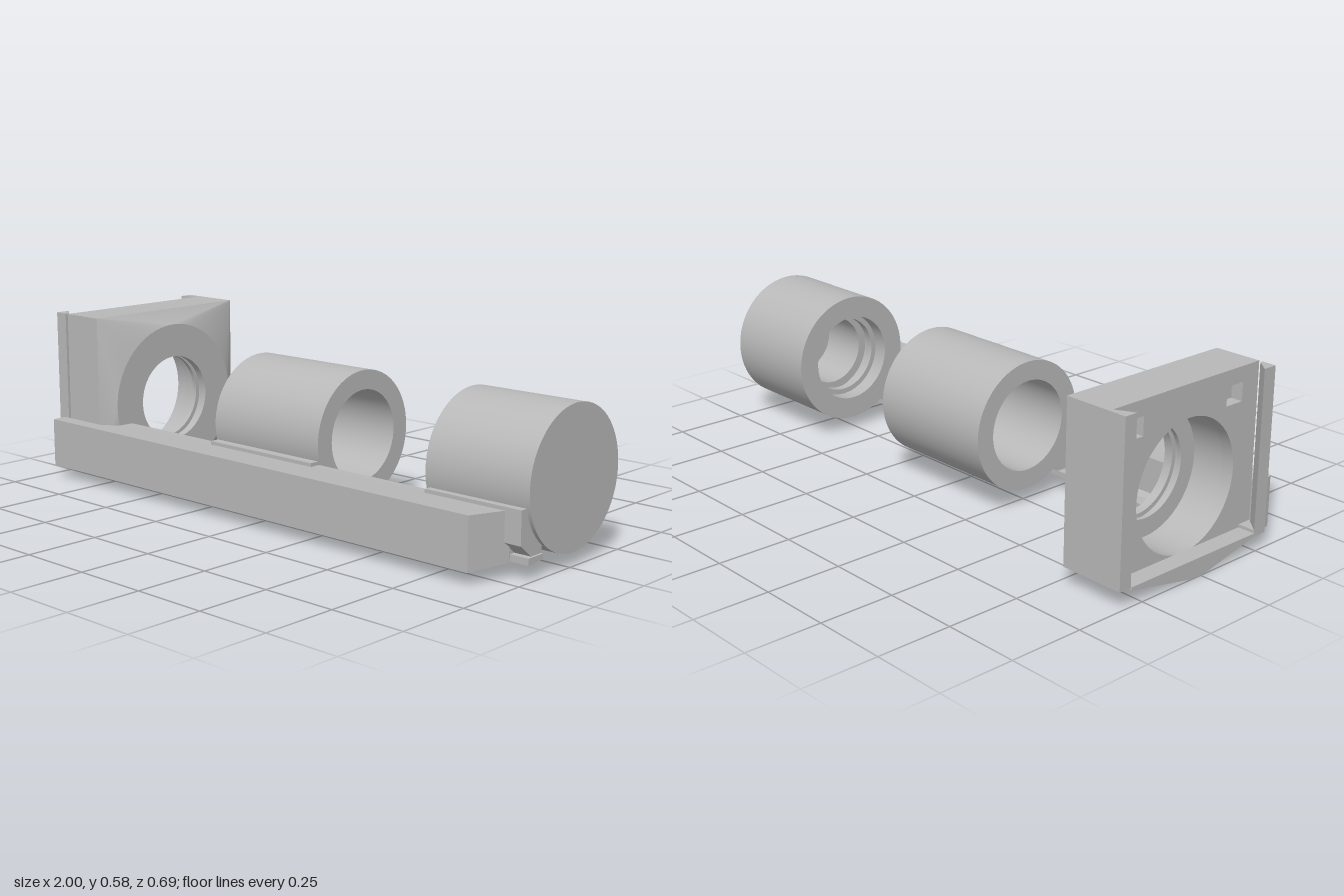
import * as THREE from 'three';
import { toCreasedNormals } from 'three/addons/utils/BufferGeometryUtils.js';

const CY = 0.266, CZ = -0.013; // common axis of all the round parts
const RAD = Math.PI / 180;

export function createModel() {
  const grey = new THREE.MeshStandardMaterial({ color: 0xb8b8b8 });
  grey.name = 'plain grey';
  const model = new THREE.Group();

  const add = (name, geo, parent = model) => {
    const mesh = new THREE.Mesh(toCreasedNormals(geo, 0.5), grey);
    mesh.name = name;
    parent.add(mesh);
    return mesh;
  };
  const toShape = pts => new THREE.Shape(pts.map(p => new THREE.Vector2(p[0], p[1])));
  const extrude = (shape, depth) =>
    new THREE.ExtrudeGeometry(shape, { depth, bevelEnabled: false, curveSegments: 48 });

  // Extrudes a [z, y] section along x
  const alongX = (pts, x0, x1, holes = []) => {
    const shape = toShape(pts);
    shape.holes.push(...holes);
    return extrude(shape, x1 - x0).rotateY(-Math.PI / 2).translate(x1, 0, 0);
  };
  // Extrudes an [x, z] plan upwards
  const alongY = (pts, y0, y1) =>
    extrude(toShape(pts.map(([x, z]) => [x, -z])), y1 - y0).rotateX(-Math.PI / 2).translate(0, y0, 0);
  // Turns a [radius, x] profile about the common axis
  const turned = pts =>
    new THREE.LatheGeometry(pts.map(p => new THREE.Vector2(p[0], p[1])), 72)
      .rotateZ(-Math.PI / 2).translate(0, CY, CZ);
  const onCircle = (r, deg) => [CZ + r * Math.cos(deg * RAD), CY + r * Math.sin(deg * RAD)];
  const arc = (r, a, b, n) =>
    Array.from({ length: n + 1 }, (_, i) => onCircle(r, a + (b - a) * i / n));

  // ---- Head: squared block blending into a round face ----
  const head = new THREE.Group();
  head.name = 'head';
  model.add(head);
  const R = 0.266, bore = 0.15, recess = 0.21;
  const TL = [0.29, 0.58], TR = [-0.345, 0.58], BR = [-0.345, 0.06], BL = [0.29, 0.06];
  const T0 = 258.9, T1 = 282.4; // where the sloping underside meets the round
  const belly = arc(R, T0, T1, 6);
  const outline = [TL, TR, BR, ...belly, BL];
  const roundHole = r => new THREE.Path().absarc(CZ, CY, r, 0, Math.PI * 2, true);
  const pocket = z => new THREE.Path([[z, 0.47], [z, 0.53], [z + 0.07, 0.53], [z + 0.07, 0.47]]
    .map(p => new THREE.Vector2(p[0], p[1])));

  add('headBody', alongX(outline, -0.9, -0.78, [roundHole(recess)]), head);
  add('headBackPlate',
    alongX(outline, -0.94, -0.9, [roundHole(recess), pocket(0.15), pocket(-0.275)]), head);

  // Blend surface: each corner fans out to its own arc of the round face
  const pairs = [];
  const fan = (corner, a, b) => arc(R, a, b, 20).forEach(p => pairs.push([corner, p]));
  fan(TL, 0, 90);
  fan(TR, 90, 180);
  fan(BR, 180, T0);
  belly.forEach(p => pairs.push([p, p]));
  fan(BL, T1, 360);
  const pos = [];
  const tri = (...v) => v.forEach(([p, x]) => pos.push(x, p[1], p[0]));
  pairs.forEach(([o, c], i) => {
    const [o2, c2] = pairs[(i + 1) % pairs.length];
    if (o !== o2) tri([o, -0.78], [c, -0.725], [o2, -0.78]);
    if (c !== c2) tri([o2, -0.78], [c, -0.725], [c2, -0.725]);
  });
  const blend = new THREE.BufferGeometry();
  blend.setAttribute('position', new THREE.Float32BufferAttribute(pos, 3));
  add('headBlend', blend, head);
  add('headFaceRing', turned([[R, -0.725], [bore, -0.725], [bore, -0.755], [0.165, -0.755],
    [0.165, -0.775], [bore, -0.775], [bore, -0.79], [recess + 0.005, -0.79]]), head);

  // Slide rails and floor behind the head
  add('headFloor', alongX([[0.24, 0.06], [-0.295, 0.06], [-0.295, 0.05], ...belly, [0.24, 0.05]],
    -1, -0.94), head);
  add('rearRail', alongY([[-1, -0.345], [-1, -0.3], [-0.94, -0.33], [-0.94, -0.345]], 0.06, 0.58), head);
  add('frontRail', alongY([[-1, 0.24], [-1, 0.29], [-0.952, 0.29], [-0.952, 0.28]], 0.05, 0.58), head);
  add('railFoot', alongY([[-1, 0.24], [-1, 0.29], [-0.94, 0.29], [-0.94, 0.24]], 0.05, 0.07), head);

  // ---- Middle sleeve, open at both ends ----
  add('sleeve', turned([[0.214, -0.283], [0.214, 0.183], [bore, 0.183], [bore, -0.283], [0.214, -0.283]]));

  // ---- End cap: closed on the outside, grooved bore inside ----
  add('endCap', turned([[0.223, 0.625], [0.223, 1], [0, 1]]));
  add('endCapBore', turned([[0, 0.92], [0.12, 0.92], [0.12, 0.74], [0.15, 0.74], [0.15, 0.71],
    [0.132, 0.71], [0.132, 0.68], [bore, 0.68], [bore, 0.625], [0.223, 0.625]]));

  // ---- Front bar with angled end and slightly tapering top and underside ----
  const bar = alongY([[-0.965, 0.348], [0.893, 0.348], [0.935, 0.21], [-0.94, 0.21],
    [-0.94, 0.29], [-0.975, 0.29]], 0, 1);
  const bp = bar.attributes.position;
  for (let i = 0; i < bp.count; i++) {
    const inset = 0.348 - bp.getZ(i);
    bp.setY(i, bp.getY(i) > 0.5 ? 0.207 - inset * 0.03 : 0.04 + inset * 0.06);
  }
  add('bar', bar);
  add('barLedge', alongX([[0.215, 0.048], [0.215, 0.203], [0.19, 0.203], [0.19, 0.085],
    [0.175, 0.07], [0.13, 0.07], [0.13, 0.053]], -0.74, 0.93));
  add('ledgeTip', alongX([[0.2, 0.049], [0.2, 0.07], [0.13, 0.07], [0.13, 0.053]], 0.93, 0.995));

  // ---- Cradles joining the round parts to the bar ----
  for (const [name, x0, x1] of [['sleeveCradle', -0.278, 0.178], ['capCradle', 0.637, 0.987]]) {
    add(name, alongX([[0.228, 0.11], [0.228, 0.215], [0.19, 0.215], ...arc(0.2, -14, -48, 8),
      [0.13, 0.07], [0.178, 0.07]], x0, x1));
  }
  return model;
}
